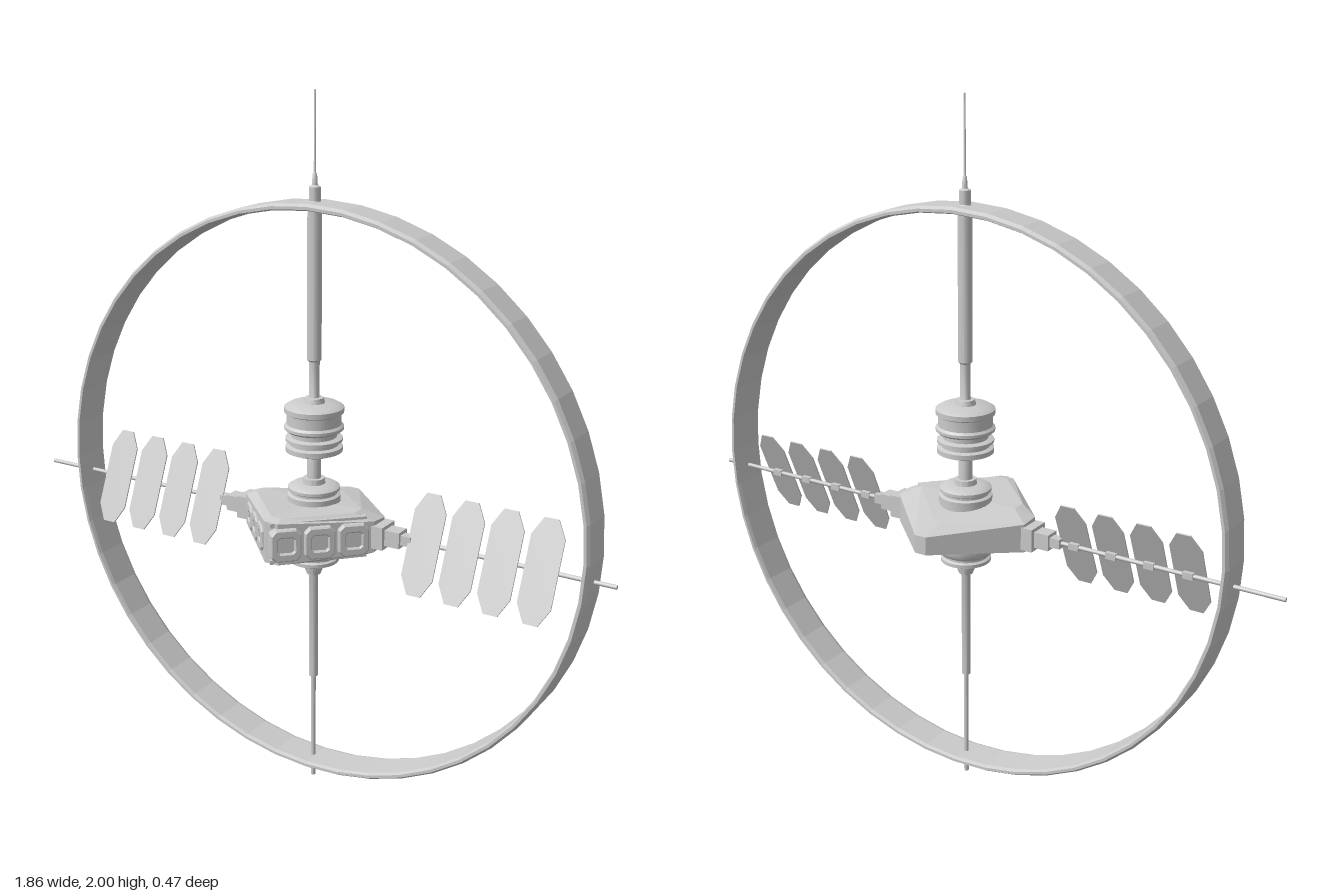
import * as THREE from 'three';
import { toCreasedNormals } from 'three/addons/utils/BufferGeometryUtils.js';

const smooth = new THREE.MeshStandardMaterial({ color: 0xcccccc });
const flat = new THREE.MeshStandardMaterial({ color: 0xcccccc, flatShading: true });
const CX = 0.033, CZ = -0.018, ARM_Y = 0.82;

function add(parent, name, geometry, x = 0, y = 0, z = 0, material = flat) {
  const mesh = new THREE.Mesh(geometry, material);
  mesh.name = name;
  mesh.position.set(x, y, z);
  parent.add(mesh);
  return mesh;
}

// Revolved part from [radius, y] pairs, listed bottom to top
function lathe(profile, segments = 24) {
  const points = profile.map(([r, y]) => new THREE.Vector2(r, y));
  return toCreasedNormals(new THREE.LatheGeometry(points, segments), 0.6);
}

// Closed solid through equal-length loops, bottom to top
function loft(loops) {
  const n = loops[0].length, pos = [];
  const tri = (a, b, c) => pos.push(...a, ...b, ...c);
  for (let k = 0; k < loops.length - 1; k++) {
    for (let i = 0; i < n; i++) {
      const j = (i + 1) % n, lo = loops[k], hi = loops[k + 1];
      tri(lo[i], lo[j], hi[i]);
      tri(lo[j], hi[j], hi[i]);
    }
  }
  const mid = (loop) => [0, 1, 2].map((c) => loop.reduce((s, p) => s + p[c], 0) / n);
  const first = loops[0], last = loops[loops.length - 1];
  for (let i = 0; i < n; i++) {
    const j = (i + 1) % n;
    tri(mid(last), last[i], last[j]);
    tri(mid(first), first[j], first[i]);
  }
  const g = new THREE.BufferGeometry();
  g.setAttribute('position', new THREE.Float32BufferAttribute(pos, 3));
  g.computeVertexNormals();
  return g;
}

// Square frame with bevelled rim, facing +z
function windowFrame(w, h, depth) {
  const rect = (Type, a, b, c) => {
    const s = new Type();
    [[-a + c, -b], [a - c, -b], [a, -b + c], [a, b - c], [a - c, b], [-a + c, b], [-a, b - c], [-a, -b + c]]
      .forEach(([x, y], i) => (i ? s.lineTo(x, y) : s.moveTo(x, y)));
    s.closePath();
    return s;
  };
  const shape = rect(THREE.Shape, w / 2 - 0.004, h / 2 - 0.004, 0.012);
  shape.holes.push(rect(THREE.Path, w / 2 - 0.016, h / 2 - 0.02, 0.008));
  return new THREE.ExtrudeGeometry(shape, {
    depth, bevelEnabled: true, bevelSize: 0.004, bevelThickness: 0.004, bevelSegments: 1,
  });
}

function buildHull() {
  const hull = new THREE.Group();
  hull.name = 'hull';
  hull.position.set(CX, ARM_Y, CZ);
  hull.rotation.y = Math.PI / 4;

  // Chamfered footprint, thinner toward the rear corner
  const plan = [[-0.14, 0.17], [0.13, 0.17], [0.17, 0.13], [0.17, -0.145],
    [0.145, -0.17], [-0.13, -0.17], [-0.17, -0.13], [-0.17, 0.14]];
  const rearward = (x, z) => (z - x) / Math.SQRT2;
  const rim = (sign) => plan.map(([x, z]) => [x, sign * (0.043 + 0.075 * rearward(x, z)), z]);
  const deck = (sign) => plan.map(([px, pz]) => {
    const x = px * 0.75 - 0.02, z = pz * 0.75 + 0.02;
    return [x, sign * (0.066 + Math.min(0, 0.25 * (rearward(x, z) + 0.05))), z];
  });
  add(hull, 'hullShell', loft([deck(-1), rim(-1), rim(1), deck(1)]));

  // Large windows on one face, small ones on the next
  for (let i = -1; i <= 1; i++) {
    const x = -0.025 + i * 0.094;
    add(hull, 'windowFrame', windowFrame(0.085, 0.092, 0.03), x, 0, 0.152);
    add(hull, 'windowPane', new THREE.BoxGeometry(0.06, 0.06, 0.025), x, 0, 0.165);
    const side = add(hull, 'sideWindowFrame', windowFrame(0.066, 0.075, 0.014), -0.158, 0, 0.015 + i * 0.075);
    side.rotation.y = -Math.PI / 2;
  }
  // Brow above and below the large windows
  for (const s of [-1, 1]) {
    add(hull, 'windowBrow', new THREE.BoxGeometry(0.27, 0.012, 0.03), -0.025, s * 0.053, 0.148);
  }
  return hull;
}

export function createModel() {
  const model = new THREE.Group();
  model.name = 'ringStation';

  // Outer ring: chamfered band turned to face the front
  const band = [[0.818, -0.056], [0.826, -0.056], [0.833, -0.046], [0.833, 0.046],
    [0.826, 0.056], [0.818, 0.056], [0.814, 0.046], [0.814, -0.046], [0.818, -0.056]]
    .map(([r, y]) => new THREE.Vector2(r, y));
  const ring = add(model, 'outerRing', new THREE.LatheGeometry(band, 48), 0.04, 0.881, CZ);
  ring.rotation.x = Math.PI / 2;

  // Central mast with tapering steps up to the antenna
  add(model, 'lowerMast', lathe([[0, 0], [0.007, 0], [0.007, 0.33], [0.013, 0.33], [0.013, 0.655],
    [0.02, 0.655], [0.026, 0.67], [0.026, 0.7], [0, 0.7]], 16), CX, 0, CZ, smooth);
  add(model, 'upperMast', lathe([[0, 0.9], [0.02, 0.9], [0.02, 1.15], [0.015, 1.16], [0.015, 1.28],
    [0.02, 1.285], [0.02, 1.71], [0.016, 1.715], [0.016, 1.752], [0.008, 1.757], [0.006, 1.785],
    [0.003, 1.79], [0.003, 2], [0, 2]], 16), CX, 0, CZ, smooth);

  // Stacked discs on the mast
  add(model, 'dockingDrum', lathe([[0, 1.018], [0.06, 1.018], [0.072, 1.026], [0.08, 1.026], [0.08, 1.04],
    [0.068, 1.044], [0.068, 1.052], [0.08, 1.056], [0.08, 1.064], [0.064, 1.068], [0.064, 1.08],
    [0.076, 1.084], [0.083, 1.09], [0.083, 1.098], [0.076, 1.104], [0.076, 1.134], [0.083, 1.138],
    [0.083, 1.152], [0.07, 1.16], [0.03, 1.164], [0.026, 1.178], [0, 1.18]], 32), CX, 0, CZ, smooth);
  add(model, 'upperTurret', lathe([[0, 0.87], [0.075, 0.87], [0.075, 0.898], [0.066, 0.902], [0.066, 0.908],
    [0.073, 0.912], [0.073, 0.92], [0.06, 0.928], [0.032, 0.93], [0.03, 0.945], [0, 0.947]], 32), CX, 0, CZ, smooth);
  add(model, 'lowerTurret', lathe([[0, 0.69], [0.055, 0.69], [0.072, 0.698], [0.072, 0.708], [0.065, 0.712],
    [0.065, 0.718], [0.076, 0.724], [0.083, 0.735], [0.083, 0.752], [0.075, 0.756], [0.075, 0.78], [0, 0.78]], 32),
    CX, 0, CZ, smooth);

  model.add(buildHull());

  // Side arms: stepped socket, long spar and four tilted panels each
  const octagon = new THREE.Shape();
  [[-0.02, -0.141], [0.02, -0.141], [0.047, -0.092], [0.047, 0.092], [0.02, 0.141], [-0.02, 0.141],
    [-0.047, 0.092], [-0.047, -0.092]].forEach(([x, y], i) => (i ? octagon.lineTo(x, y) : octagon.moveTo(x, y)));
  octagon.closePath();
  const panelGeometry = new THREE.ExtrudeGeometry(octagon, { depth: 0.004, bevelEnabled: false });

  for (const side of [-1, 1]) {
    const arm = new THREE.Group();
    arm.name = side > 0 ? 'leftArm' : 'rightArm';
    arm.position.set(CX, ARM_Y, CZ);
    model.add(arm);
    const tip = 0.93 - side * CX;
    add(arm, 'armRoot', new THREE.BoxGeometry(0.09, 0.066, 0.07), side * 0.195, 0, 0);
    add(arm, 'armSocket', new THREE.BoxGeometry(0.09, 0.046, 0.045), side * 0.24, 0, 0);
    add(arm, 'armCollar', new THREE.BoxGeometry(0.04, 0.028, 0.028), side * 0.295, 0, 0);
    const spar = add(arm, 'spar', new THREE.CylinderGeometry(0.006, 0.006, tip - 0.28, 10),
      side * (tip + 0.28) / 2, 0, 0, smooth);
    spar.rotation.z = Math.PI / 2;
    for (let i = 0; i < 4; i++) {
      const x = side * (0.355 + i * 0.1135);
      add(arm, 'panel', panelGeometry, x, 0, 0.009).rotation.x = -0.4;
      add(arm, 'panelBracket', new THREE.BoxGeometry(0.03, 0.018, 0.016), x, 0, 0);
    }
  }
  return model;
}
